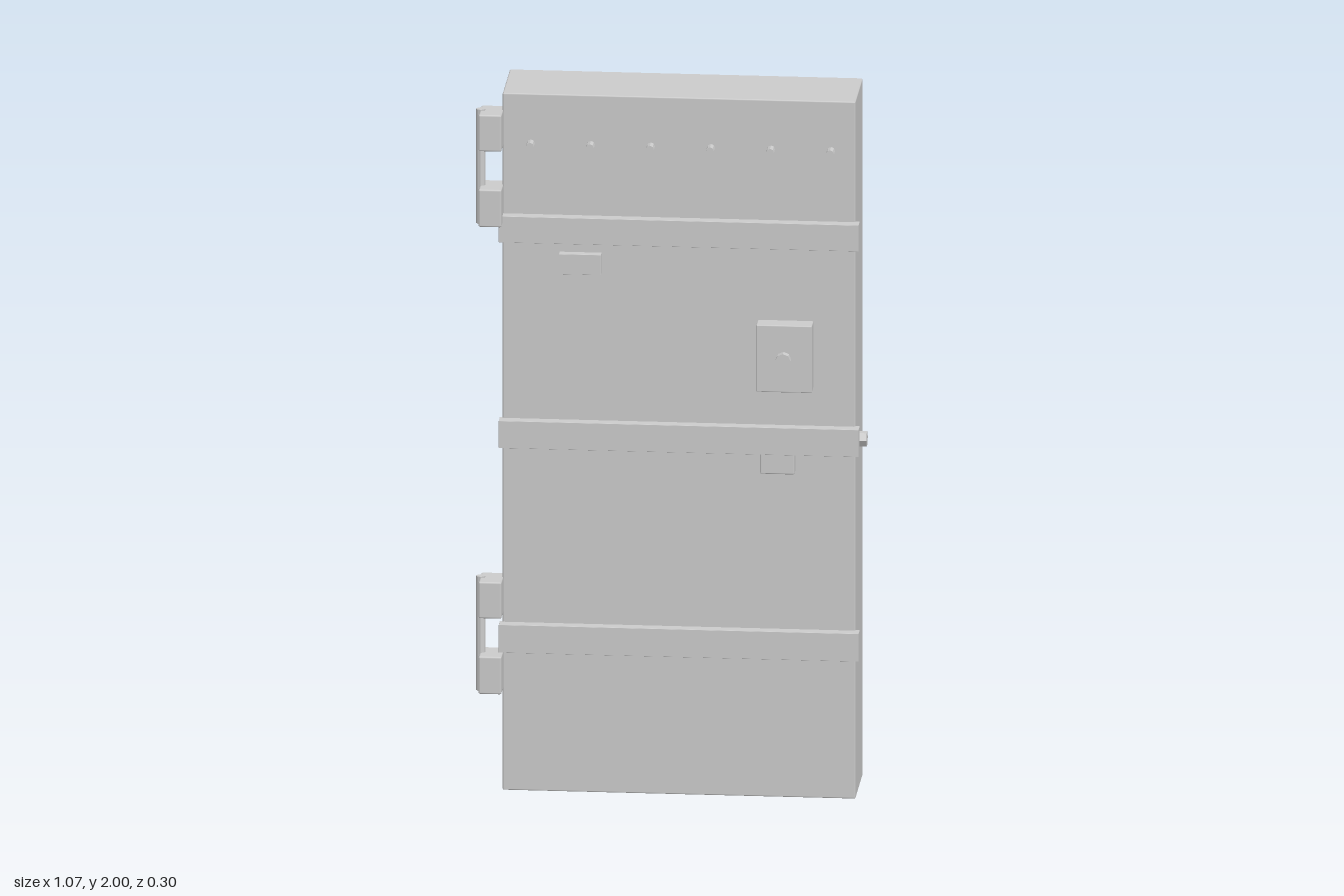
import * as THREE from 'three';
import { RoundedBoxGeometry } from 'three/addons/geometries/RoundedBoxGeometry.js';

const material = new THREE.MeshStandardMaterial({ color: 0xcccccc });
const flatMaterial = new THREE.MeshStandardMaterial({ color: 0xcccccc, flatShading: true });

export function createModel() {
  const door = new THREE.Group();
  door.name = 'heavyDoor';

  // Box given by its extents, with a small bevel
  function box(name, [x0, x1], [y0, y1], [z0, z1], bevel = 0.002) {
    const geometry = new RoundedBoxGeometry(x1 - x0, y1 - y0, z1 - z0, 1, bevel);
    const mesh = new THREE.Mesh(geometry, material);
    mesh.name = name;
    mesh.position.set((x0 + x1) / 2, (y0 + y1) / 2, (z0 + z1) / 2);
    door.add(mesh);
  }

  // Faceted cylinder along a chosen axis
  function peg(name, radius, length, sides, axis, x, y, z) {
    const geometry = new THREE.CylinderGeometry(radius, radius, length, sides);
    if (axis === 'z') geometry.rotateX(Math.PI / 2);
    if (axis === 'x') geometry.rotateZ(Math.PI / 2);
    const mesh = new THREE.Mesh(geometry, flatMaterial);
    mesh.name = name;
    mesh.position.set(x, y, z);
    door.add(mesh);
  }

  // Slab
  box('slab', [-0.463, 0.51], [0, 2], [-0.15, 0.078], 0.004);

  // Horizontal reinforcing bands
  for (const [y0, y1] of [[0.403, 0.483], [0.99, 1.068], [1.58, 1.655]]) {
    box('band', [-0.471, 0.521], [y0, y1], [0.07, 0.108], 0.001);
  }

  // Hinges: two knuckles joined by a pin
  for (const y of [0.29, 1.63]) {
    box('hingeLowerKnuckle', [-0.525, -0.461], [y, y + 0.108], [0.038, 0.134], 0.005);
    box('hingeUpperKnuckle', [-0.525, -0.461], [y + 0.217, y + 0.322], [0.038, 0.134], 0.005);
    peg('hingePin', 0.013, 0.328, 8, 'y', -0.522, y + 0.162, 0.085);
  }

  // Row of rivets
  for (let i = 0; i < 6; i++) {
    peg('rivet', 0.011, 0.04, 8, 'z', -0.385 + i * 0.1655, 1.858, 0.09);
  }

  // Name plate, lock and catch
  box('plate', [-0.306, -0.19], [1.491, 1.549], [0.076, 0.101], 0.001);
  box('lockBox', [0.24, 0.394], [1.176, 1.368], [0.07, 0.128], 0.003);
  peg('lockKnob', 0.021, 0.05, 8, 'z', 0.316, 1.272, 0.125);
  box('catch', [0.249, 0.344], [0.934, 1.04], [0.07, 0.106], 0.004);

  // Bolt on the closing edge
  peg('edgeBolt', 0.022, 0.05, 6, 'x', 0.507, 1, -0.035);

  return door;
}
